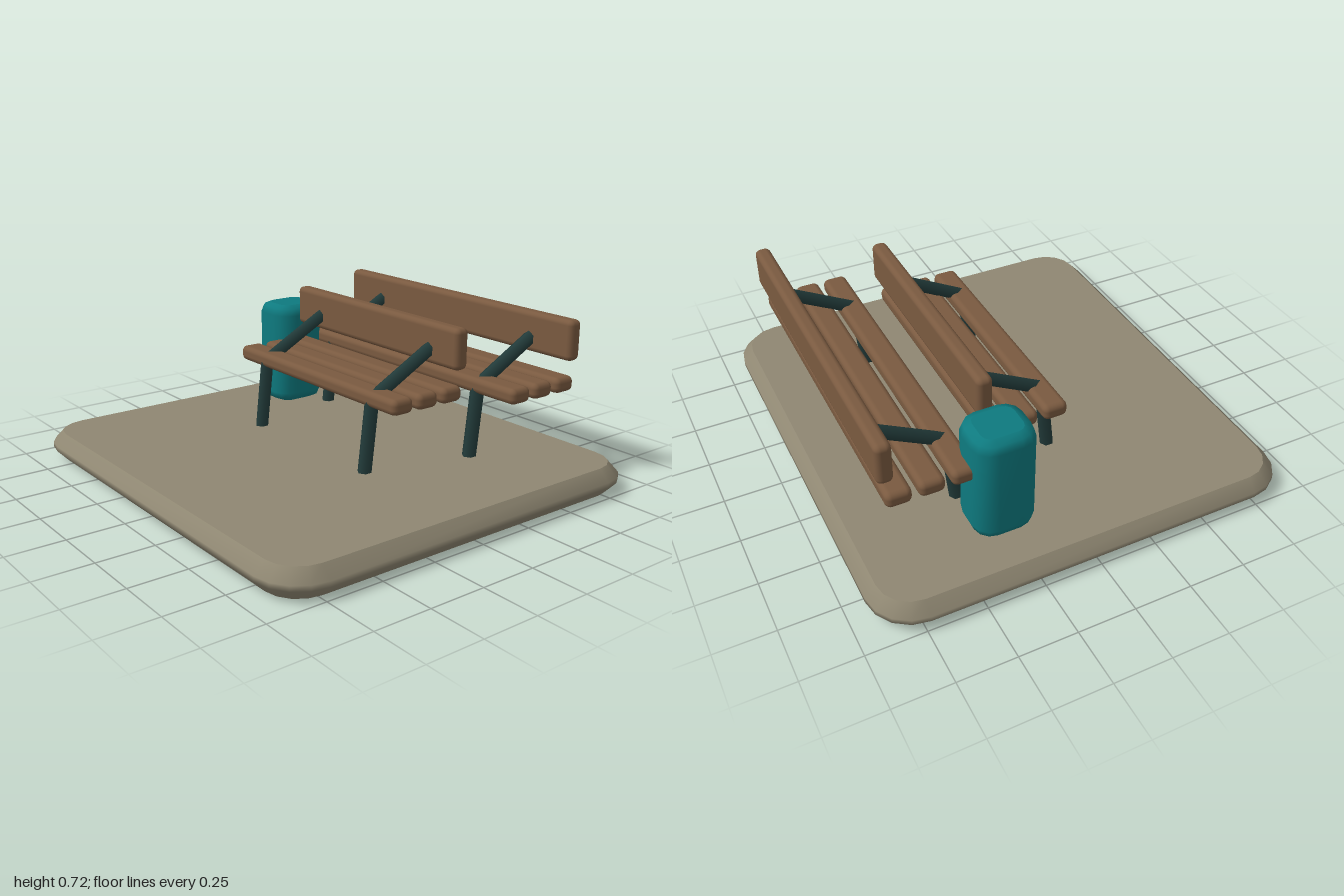
import * as THREE from 'three';
import { RoundedBoxGeometry } from 'three/addons/geometries/RoundedBoxGeometry.js';

const material = (name, color) => {
  const m = new THREE.MeshStandardMaterial({ color });
  m.name = name;
  return m;
};

// Rounded-rectangle block: rings of [inset, y], smooth wall and flat caps
function roundedSlab(width, depth, radius, segments, rings) {
  const positions = [], index = [];
  const n = 4 * (segments + 1);
  const addRing = ([inset, y]) => {
    const r = radius - inset;
    for (let q = 0; q < 4; q++) {
      const cx = (q === 0 || q === 3 ? 1 : -1) * (width / 2 - radius);
      const cz = (q < 2 ? -1 : 1) * (depth / 2 - radius);
      for (let s = 0; s <= segments; s++) {
        const a = (q + s / segments) * Math.PI / 2;
        positions.push(cx + r * Math.cos(a), y, cz - r * Math.sin(a));
      }
    }
  };
  rings.forEach(addRing);
  for (let j = 0; j < rings.length - 1; j++) {
    for (let i = 0; i < n; i++) {
      const k = (i + 1) % n;
      const a = j * n + i, b = j * n + k;
      index.push(a, b, b + n, a, b + n, a + n);
    }
  }
  // Caps use their own vertices so the rim stays crisp
  for (const top of [false, true]) {
    const ring = top ? rings[rings.length - 1] : rings[0];
    const start = positions.length / 3;
    addRing(ring);
    positions.push(0, ring[1], 0);
    for (let i = 0; i < n; i++) {
      const a = start + i, b = start + (i + 1) % n;
      index.push(start + n, top ? a : b, top ? b : a);
    }
  }
  const geometry = new THREE.BufferGeometry();
  geometry.setAttribute('position', new THREE.Float32BufferAttribute(positions, 3));
  geometry.setIndex(index);
  geometry.computeVertexNormals();
  return geometry;
}

function addMesh(parent, name, geometry, mat, x = 0, y = 0, z = 0) {
  const mesh = new THREE.Mesh(geometry, mat);
  mesh.name = name;
  mesh.position.set(x, y, z);
  parent.add(mesh);
  return mesh;
}

// Six-sided bar between two points in a plane of constant x
function addBar(parent, name, mat, x, [z0, y0], [z1, y1]) {
  const dy = y1 - y0, dz = z1 - z0;
  const geometry = new THREE.CylinderGeometry(0.031, 0.031, Math.hypot(dy, dz), 6);
  const bar = addMesh(parent, name, geometry, mat, x, (y0 + y1) / 2, (z0 + z1) / 2);
  bar.rotation.x = Math.atan2(dz, dy);
}

function createBench(name, length, legX, z, wood, metal) {
  const bench = new THREE.Group();
  bench.name = name;
  // Seat slats
  for (let i = 0; i < 3; i++) {
    addMesh(bench, 'seatSlat', new RoundedBoxGeometry(length, 0.068, 0.108, 2, 0.025), wood,
      0, 0.438, 0.023 - i * 0.134);
  }
  // Backrest
  addMesh(bench, 'backrest', new RoundedBoxGeometry(length, 0.18, 0.068, 2, 0.024), wood,
    0, 0.625, -0.292);
  // Legs and the arms that carry the backrest
  for (const side of [-1, 1]) {
    addBar(bench, 'leg', metal, side * legX, [0.082, 0.115], [0.045, 0.437]);
    addBar(bench, 'backSupport', metal, side * legX, [0.04, 0.437], [-0.29, 0.612]);
  }
  bench.position.z = z;
  return bench;
}

export function createModel() {
  const stone = material('stone', 0x8f8772);
  const wood = material('wood', 0x7a5a40);
  const metal = material('darkMetal', 0x223b3a);
  const teal = material('teal', 0x0e7a7f);

  const model = new THREE.Group();
  model.name = 'benchesOnSlab';

  // Ground slab with bevelled rim
  addMesh(model, 'groundSlab', roundedSlab(2, 1.845, 0.19, 4,
    [[0.047, 0], [0, 0.05], [0, 0.073], [0.047, 0.123]]), stone);

  // Benches, one behind the other
  model.add(createBench('frontBench', 1.115, 0.381, 0, wood, metal));
  model.add(createBench('backBench', 1.48, 0.504, -0.485, wood, metal));

  // Litter bin
  addMesh(model, 'litterBin', roundedSlab(0.245, 0.268, 0.085, 3,
    [[0.045, 0.123], [0.013, 0.137], [0, 0.17], [0, 0.565], [0.013, 0.598], [0.045, 0.612]]),
    teal, -0.688, 0, -0.308);

  return model;
}
